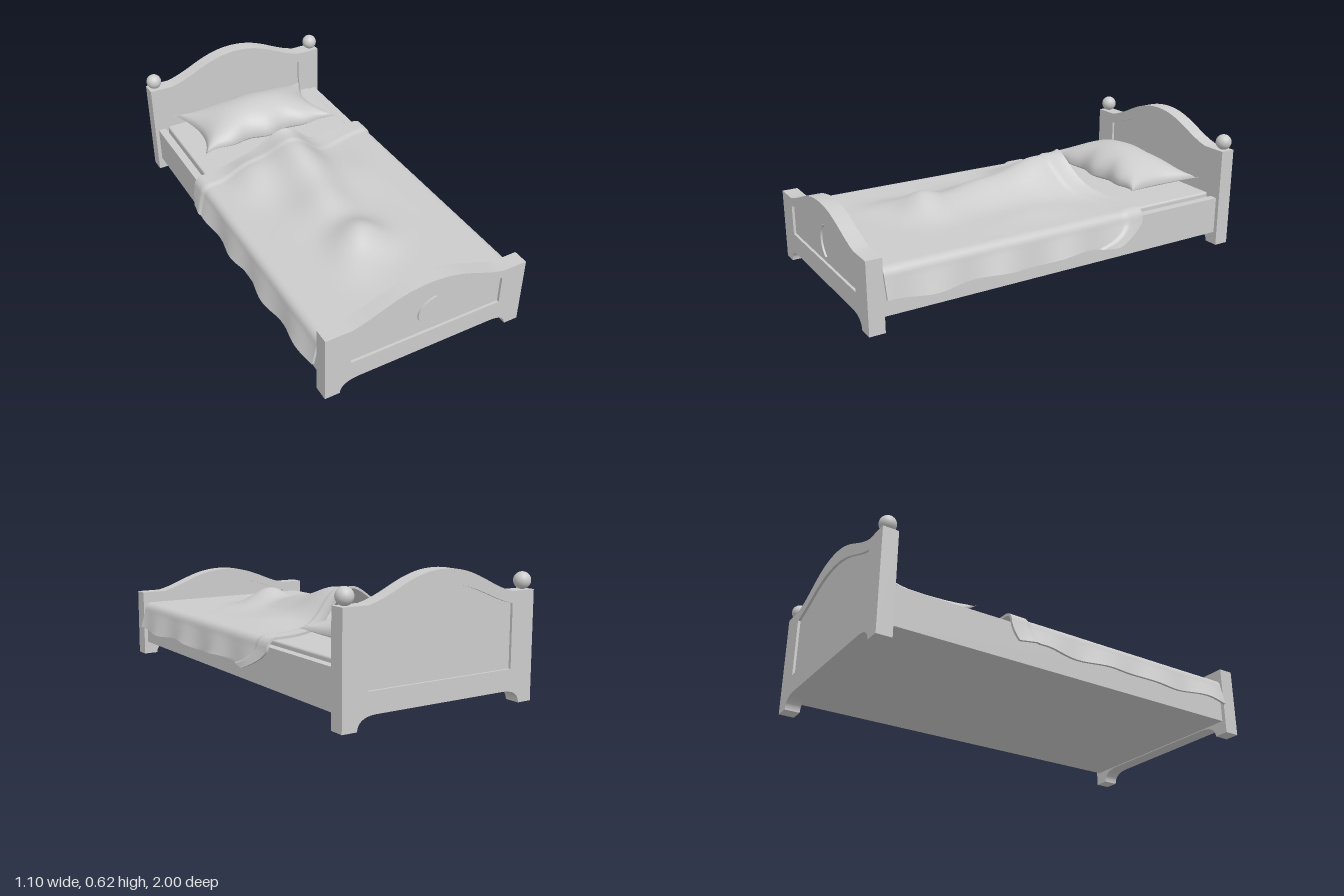
import * as THREE from 'three';
import { toCreasedNormals } from 'three/addons/utils/BufferGeometryUtils.js';
import { RoundedBoxGeometry } from 'three/addons/geometries/RoundedBoxGeometry.js';
import { ParametricGeometry } from 'three/addons/geometries/ParametricGeometry.js';

const wood = new THREE.MeshStandardMaterial({ color: 0xcccccc });
const cloth = new THREE.MeshStandardMaterial({ color: 0xcccccc, side: THREE.DoubleSide });

function add(parent, name, geometry, material = wood, x = 0, y = 0, z = 0) {
  const mesh = new THREE.Mesh(geometry, material);
  mesh.name = name;
  mesh.position.set(x, y, z);
  parent.add(mesh);
  return mesh;
}

// Extrusion centred on z = 0 with smooth curves and sharp edges
function slab(shape, depth) {
  const g = new THREE.ExtrudeGeometry(shape, { depth, bevelEnabled: false, curveSegments: 20 });
  g.translate(0, 0, -depth / 2);
  return toCreasedNormals(g, 0.5);
}

// Arched top edge from right (+x) to left (-x)
function arch(path, half, shoulder, peak) {
  path.bezierCurveTo(0.25, shoulder + 0.03, 0.17, peak, 0, peak);
  path.bezierCurveTo(-0.17, peak, -0.25, shoulder + 0.03, -half, shoulder);
}

function panelOutline(path, shoulder, peak) {
  path.moveTo(-0.385, 0.157);
  path.lineTo(0.385, 0.157);
  path.lineTo(0.385, shoulder);
  arch(path, 0.385, shoulder, peak);
  path.lineTo(-0.385, 0.157);
  return path;
}

// End board: arched frame with feet and a recessed panel
function endBoard(name, z, shoulder, peak, panelShoulder, panelPeak) {
  const board = new THREE.Group();
  board.name = name;
  board.position.z = z;
  const s = new THREE.Shape();
  s.moveTo(-0.51, 0);
  s.lineTo(-0.437, 0);
  s.bezierCurveTo(-0.435, 0.04, -0.4, 0.06, -0.34, 0.06);
  s.lineTo(0.34, 0.06);
  s.bezierCurveTo(0.4, 0.06, 0.435, 0.04, 0.437, 0);
  s.lineTo(0.51, 0);
  s.lineTo(0.51, shoulder);
  s.lineTo(0.385, shoulder);
  arch(s, 0.385, shoulder, peak);
  s.lineTo(-0.51, shoulder);
  s.lineTo(-0.51, 0);
  s.holes.push(panelOutline(new THREE.Path(), panelShoulder, panelPeak));
  add(board, name + 'Frame', slab(s, 0.075));
  add(board, name + 'Panel', slab(panelOutline(new THREE.Shape(), panelShoulder, panelPeak), 0.05));
  return board;
}

// Pillow half: pinched outline, puffed up or down
function pillowHalf(side) {
  return new ParametricGeometry((a, b, p) => {
    const u = -side * (2 * a - 1), v = 2 * b - 1;
    const puff = Math.pow(Math.max(0, (1 - u * u) * (1 - v * v)), 0.55);
    const ripple = 0.012 * Math.cos(u * 11) * (1 - u * u) * Math.abs(v);
    const x = 0.39 * u * (1 - 0.17 * (1 - v * v));
    const z = v * (0.215 * (1 - 0.2 * (1 - u ** 4)) + ripple);
    const seam = 0.335 - 0.02 * (1 - (u * v) ** 2);
    p.set(x, seam + (side > 0 ? 0.135 : -0.042) * puff, z);
  }, 40, 30);
}

// Blanket cross-section: flat top, rounded corner, flared hang
const FLAT = 0.465, R = 0.04, ARC = R * Math.PI / 2, HANG = 0.1;
const gauss = (d, s) => Math.exp(-((d / s) ** 2));
const bumps = [ // x, z, width, length, height
  [-0.03, -0.16, 0.15, 0.25, 0.165], [-0.03, 0.47, 0.13, 0.12, 0.09],
  [-0.05, 0.2, 0.14, 0.17, 0.065], [-0.27, -0.22, 0.11, 0.16, 0.06],
  [-0.15, 0.6, 0.1, 0.12, 0.02], [0.28, 0.05, 0.12, 0.2, 0.015],
];
const headEdge = x => -0.36 - 0.07 * THREE.MathUtils.smoothstep(x, 0.1, 0.45) + 0.06 * gauss(x, 0.15);

function blanketPoint(u, t, off) {
  const side = Math.sign(u), a = Math.abs(u) * (FLAT + ARC + HANG);
  const theta = THREE.MathUtils.clamp((a - FLAT) / R, 0, Math.PI / 2);
  const d = Math.max(0, a - FLAT - ARC);
  let x = side * (Math.min(a, FLAT) + (R - off) * Math.sin(theta) + 0.3 * d);
  let y = 0.287 - R + (R - off) * Math.cos(theta) - d;
  const start = headEdge(x) + (side > 0 ? 16 : 3) * d * d;
  const z = start + (0.918 - start) * t;
  const near = z - start, fade = Math.max(0, 1 - (Math.abs(x) / 0.5) ** 4);
  for (const [bx, bz, w, l, h] of bumps) y += fade * h * gauss(x - bx, w) * gauss(z - bz, l);
  // lifted lip and turned-back strip at the head end
  y += fade * 0.055 * Math.exp(-near / 0.05) * gauss(x + 0.03, 0.18);
  const strip = 0.009 * (1 - THREE.MathUtils.smoothstep(near, 0.085, 0.105));
  y += strip * Math.cos(theta);
  x += side * strip * Math.sin(theta);
  // soft wrinkles and wavy hem
  y += 0.003 * fade * Math.sin(9 * x + 14 * z) * (1 - t);
  x += side * 0.1 * d * Math.sin(z * 19 + side);
  y += 0.07 * d * Math.sin(z * 13 + 2 * side);
  return [x, y, z];
}

function blanketGeometry() {
  const M = 96, N = 120, row = 2 * (M + 1), pos = [], idx = [];
  for (let j = 0; j <= N; j++) {
    for (let i = 0; i < row; i++) {
      const outer = i <= M, k = outer ? i : row - 1 - i;
      pos.push(...blanketPoint(2 * k / M - 1, j / N, outer ? 0 : 0.012));
    }
  }
  const quad = (a, b, c, d) => idx.push(a, b, c, a, c, d);
  for (let j = 0; j < N; j++) {
    for (let i = 0; i < row; i++) {
      const n = (i + 1) % row;
      quad(j * row + i, (j + 1) * row + i, (j + 1) * row + n, j * row + n);
    }
  }
  const last = N * row;
  for (let i = 0; i < M; i++) {
    const k = row - 1 - i;
    quad(i, i + 1, k - 1, k);
    quad(last + k, last + k - 1, last + i + 1, last + i);
  }
  const g = new THREE.BufferGeometry();
  g.setAttribute('position', new THREE.Float32BufferAttribute(pos, 3));
  g.setIndex(idx);
  return toCreasedNormals(g, 1);
}

export function createModel() {
  const bed = new THREE.Group();
  bed.name = 'bed';

  // End boards
  const head = endBoard('headboard', -0.9625, 0.5, 0.62, 0.447, 0.552);
  const foot = endBoard('footboard', 0.9625, 0.343, 0.445, 0.3, 0.387);
  bed.add(head, foot);
  for (const s of [-1, 1]) add(head, 'knob', new THREE.SphereGeometry(0.039, 32, 20), wood, s * 0.475, 0.538, 0);

  // Crescent ornament
  const moon = new THREE.Shape();
  moon.moveTo(0.035, 0.345);
  moon.bezierCurveTo(-0.082, 0.32, -0.082, 0.21, 0.035, 0.187);
  moon.bezierCurveTo(-0.028, 0.225, -0.028, 0.305, 0.035, 0.345);
  add(foot, 'crescent', slab(moon, 0.012), wood, 0, 0, 0.028);

  // Side rails, base and mattress
  for (const s of [-1, 1]) add(bed, 'sideRail', new THREE.BoxGeometry(0.04, 0.185, 1.85), wood, s * 0.47, 0.1575, 0);
  add(bed, 'base', new THREE.BoxGeometry(0.9, 0.165, 1.85), wood, 0, 0.1475, 0);
  add(bed, 'mattress', new RoundedBoxGeometry(0.88, 0.1, 1.83, 3, 0.01), wood, 0, 0.22, 0.002);

  // Pillow
  const pillow = new THREE.Group();
  pillow.name = 'pillow';
  pillow.position.set(-0.01, 0, -0.685);
  add(pillow, 'pillowTop', pillowHalf(1), cloth);
  add(pillow, 'pillowBottom', pillowHalf(-1), cloth);
  bed.add(pillow);

  add(bed, 'blanket', blanketGeometry(), cloth);
  return bed;
}
